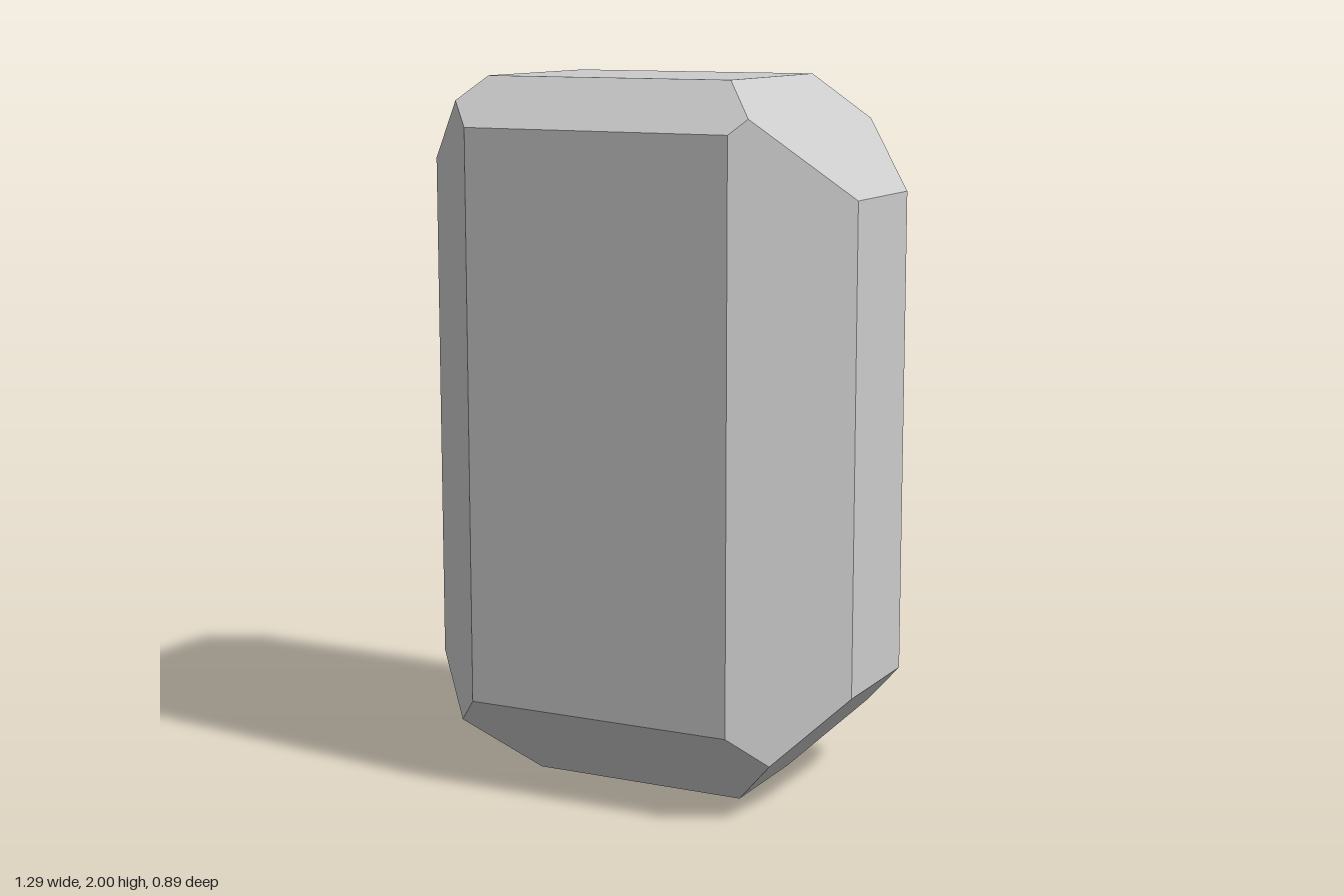
import * as THREE from 'three';

// A flat facet: outward direction and the distance limit along it
const facet = (x, y, z, limit) => ({ n: new THREE.Vector3(x, y, z), limit });

// Solid bounded by all the facets: find the corners, then fan each facet
function cutSolid(facets) {
  const corners = [];
  const m = new THREE.Matrix3();
  for (let i = 0; i < facets.length; i++)
    for (let j = i + 1; j < facets.length; j++)
      for (let k = j + 1; k < facets.length; k++) {
        const [a, b, c] = [facets[i], facets[j], facets[k]];
        m.set(...a.n.toArray(), ...b.n.toArray(), ...c.n.toArray());
        if (Math.abs(m.determinant()) < 1e-6) continue;
        const p = new THREE.Vector3(a.limit, b.limit, c.limit).applyMatrix3(m.invert());
        if (facets.some(f => f.n.dot(p) > f.limit + 1e-6)) continue;
        if (!corners.some(q => q.distanceTo(p) < 1e-5)) corners.push(p);
      }

  const positions = [];
  for (const { n, limit } of facets) {
    const ring = corners.filter(p => Math.abs(n.dot(p) - limit) < 1e-5);
    if (ring.length < 3) continue;
    // Sort the corners counter-clockwise about the facet's outward direction
    const centre = ring.reduce((s, p) => s.add(p), new THREE.Vector3()).divideScalar(ring.length);
    const normal = n.clone().normalize();
    const u = ring[0].clone().sub(centre).normalize();
    const v = normal.clone().cross(u);
    const angle = p => {
      const d = p.clone().sub(centre);
      return Math.atan2(d.dot(v), d.dot(u));
    };
    ring.sort((p, q) => angle(p) - angle(q));
    for (let i = 1; i < ring.length - 1; i++)
      for (const p of [ring[0], ring[i], ring[i + 1]]) positions.push(p.x, p.y, p.z);
  }
  const geometry = new THREE.BufferGeometry();
  geometry.setAttribute('position', new THREE.Float32BufferAttribute(positions, 3));
  geometry.computeVertexNormals();
  return geometry;
}

export function createModel() {
  const facets = [
    // Main block
    facet(1, 0, 0, 0.643), facet(-1, 0, 0, 0.643),
    facet(0, 1, 0, 2), facet(0, -1, 0, 0),
    facet(0, 0, 1, 0.443), facet(0, 0, -1, 0.443),
    // Bevels on the upright edges
    facet(1, 0, 1, 0.828), facet(-1, 0, 1, 0.846),
    facet(1, 0, -1, 0.81), facet(-1, 0, -1, 0.885),
    // Bevels around the top
    facet(1, 1, 0, 2.33), facet(-1, 1, 0, 2.405),
    facet(0, 1, 1, 2.308), facet(0, 1, -1, 2.227),
    // Bevels around the base
    facet(1, -1, 0, 0.31), facet(-1, -1, 0, 0.327),
    facet(0, -1, 1, 0.188), facet(0, -1, -1, 0.143),
  ];

  const stone = new THREE.Mesh(
    cutSolid(facets),
    new THREE.MeshStandardMaterial({ color: 0xcccccc, flatShading: true })
  );
  stone.name = 'bevelledStone';

  const model = new THREE.Group();
  model.name = 'stone';
  model.add(stone);
  return model;
}
